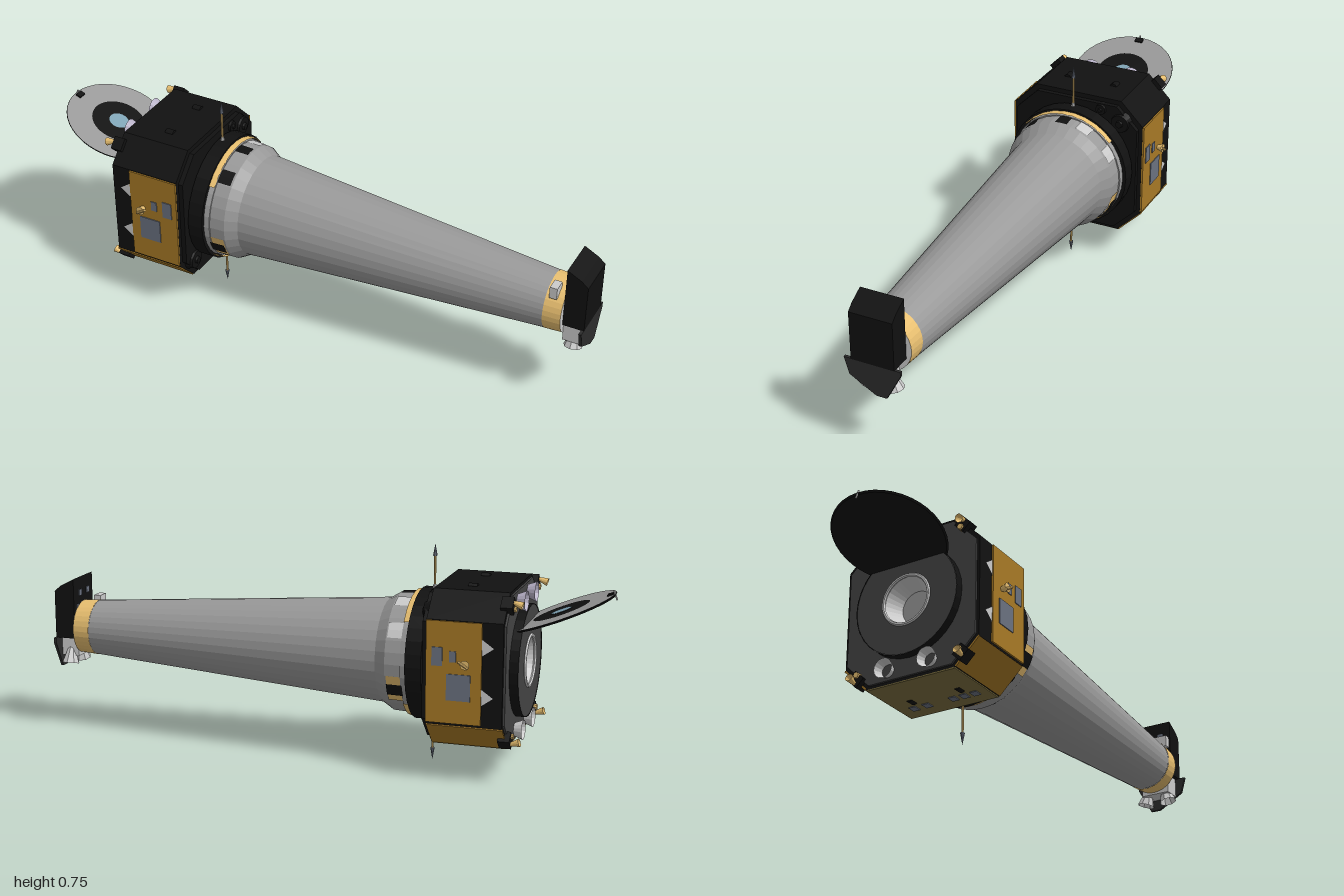
import * as THREE from 'three';

const CY = 0.378; // height of the long axis
const mat = (color, flat = true) => new THREE.MeshStandardMaterial({ color, flatShading: flat, side: THREE.DoubleSide });
const M = {
  grey: mat(0xcccccc), tube: mat(0x999999), dark: mat(0x444444), black: mat(0x111111),
  gold: mat(0xa87a26), pale: mat(0xe8bf70), olive: mat(0x7d7040), blue: mat(0x7fa3b5),
  lilac: mat(0xb9b2c8), window: mat(0x6b7280),
};

export function createModel() {
  const root = new THREE.Group();
  const add = (name, geo, m, x = 0, y = 0, z = 0, parent = root) => {
    const mesh = new THREE.Mesh(geo, m);
    mesh.name = name;
    mesh.position.set(x, y, z);
    parent.add(mesh);
    return mesh;
  };
  const box = (name, m, w, h, d, x, y, z) => add(name, new THREE.BoxGeometry(w, h, d), m, x, y, z);

  // Round section along x from x0 (radius r0) to x1 (radius r1); arc given in degrees from +z towards +y
  const round = (name, m, x0, x1, r0, r1, { y = CY, z = 0, open = false, from = 0, to = 360, seg = 32 } = {}) => {
    const n = Math.max(2, Math.round(seg * (to - from) / 360));
    const g = new THREE.CylinderGeometry(r1, r0, x1 - x0, n, 1, open, -to * Math.PI / 180, (to - from) * Math.PI / 180);
    g.rotateZ(-Math.PI / 2);
    return add(name, g, m, (x0 + x1) / 2, y, z);
  };

  // Outline in (z, y) extruded along x
  const slab = (name, m, pts, x0, x1, hole) => {
    const s = new THREE.Shape(pts.map(([z, y]) => new THREE.Vector2(-z, y)));
    if (hole) s.holes.push(new THREE.Path().absarc(0, CY, hole, 0, Math.PI * 2, true));
    const g = new THREE.ExtrudeGeometry(s, { depth: x1 - x0, bevelEnabled: false, curveSegments: 16 });
    g.rotateY(Math.PI / 2);
    return add(name, g, m, x0, 0, 0);
  };
  const octagon = (hz, hy, c) => [[hz, hy - c], [hz - c, hy], [c - hz, hy], [-hz, hy - c],
    [-hz, c - hy], [c - hz, -hy], [hz - c, -hy], [hz, c - hy]].map(([z, y]) => [z, y + CY]);

  // Octagonal body with a stepped rear face
  slab('body', M.black, octagon(0.25, 0.26, 0.085), -0.685, -0.43, 0.12);
  slab('bodyRim', M.black, octagon(0.235, 0.243, 0.08), -0.43, -0.413);
  slab('endPlate', M.dark, octagon(0.24, 0.25, 0.085), -0.692, -0.684, 0.12);

  // Drum with a recessed instrument on the end
  round('drumWall', M.black, -0.722, -0.685, 0.19, 0.19, { open: true });
  const face = add('drumFace', new THREE.RingGeometry(0.085, 0.188, 40), M.dark, -0.72, CY, 0);
  face.rotation.y = -Math.PI / 2;
  round('recess', M.grey, -0.72, -0.65, 0.085, 0.055, { open: true });
  round('recessFloor', M.tube, -0.655, -0.645, 0.06, 0.06);
  add('recessRing', new THREE.TorusGeometry(0.085, 0.006, 6, 32), M.grey, -0.721, CY, 0).rotation.y = Math.PI / 2;

  // Gold side panels, chamfer panels, windows and side antennas
  for (const s of [1, -1]) {
    box('sidePanel', M.gold, 0.185, 0.34, 0.008, -0.523, 0.381, s * 0.252);
    const chamfer = box('chamferPanel', M.gold, 0.255, 0.118, 0.006, -0.56, 0.161, s * 0.209);
    chamfer.rotation.x = s * Math.PI / 4;
    box('largeWindow', M.window, 0.08, 0.088, 0.004, -0.54, 0.333, s * 0.257);
    box('tallWindow', M.window, 0.036, 0.062, 0.004, -0.468, 0.433, s * 0.257);
    box('smallWindow', M.window, 0.022, 0.036, 0.004, -0.52, 0.435, s * 0.257);
    for (const y of [0.47, 0.305]) {
      const tri = new THREE.Shape([[-0.655, y], [-0.615, y - 0.028], [-0.615, y + 0.028]].map(p => new THREE.Vector2(...p)));
      add('gusset', new THREE.ShapeGeometry(tri), M.grey, 0, 0, s * 0.253);
    }
    const stalk = add('sideAntenna', new THREE.CylinderGeometry(0.016, 0.008, 0.022, 12), M.pale, -0.565, 0.415, s * 0.267);
    stalk.rotation.x = s * Math.PI / 2;
    const bar = add('sideAntennaBar', new THREE.CylinderGeometry(0.005, 0.005, 0.04, 8), M.pale, -0.56, 0.415, s * 0.28);
    bar.rotation.z = -1;
  }
  box('bottomPanel', M.olive, 0.25, 0.006, 0.33, -0.56, 0.117, 0);
  for (const z of [-0.11, -0.06, 0.04, 0.08, 0.12]) box('bottomVent', M.window, 0.03, 0.006, 0.025, -0.5, 0.114, z);

  // Corner thrusters and the horns along the end face
  for (const s of [1, -1]) for (const t of [1, -1]) {
    const y = CY + t * 0.232;
    const mount = box('thrusterMount', M.black, 0.04, 0.04, 0.045, -0.685, y - t * 0.008, s * 0.195);
    mount.rotation.x = s * t * Math.PI / 4;
    const nozzle = round('thruster', M.pale, -0.735, -0.7, 0.014, 0.006, { y, z: s * 0.2, open: true, seg: 12 });
    nozzle.rotation.z += t * 0.3;
    round('thrusterBase', M.pale, -0.712, -0.69, 0.01, 0.01, { y: y - t * 0.02, z: s * 0.19, seg: 8 });
    round('horn', t > 0 ? M.lilac : M.grey, -0.722, -0.655, 0.034, 0.008,
      { y: CY + t * 0.218, z: s * 0.08, open: true, seg: 16 });
    round('roofBoss', M.black, -0.56, -0.53, 0.014, 0.014, { y: CY + t * 0.255, z: s * 0.09, seg: 12 });
  }

  // Tilted aperture door
  const door = new THREE.Group();
  door.name = 'apertureDoor';
  door.position.set(-0.823, 0.55, 0);
  door.rotation.z = -0.375;
  root.add(door);
  add('doorDisc', new THREE.CylinderGeometry(0.19, 0.185, 0.006, 40), M.black, 0, 0, 0, door);
  const flat = (name, r0, r1, m, y) => {
    const g = r0 ? new THREE.RingGeometry(r0, r1, 40) : new THREE.CircleGeometry(r1, 32);
    add(name, g.rotateX(-Math.PI / 2), m, 0, y, 0, door);
  };
  flat('doorRing', 0.098, 0.188, M.tube, 0.005);
  flat('doorBlackRing', 0.036, 0.098, M.black, 0.005);
  flat('doorCentre', 0, 0.036, M.blue, 0.006);
  add('doorLatch', new THREE.BoxGeometry(0.02, 0.008, 0.03), M.black, -0.172, 0.006, 0, door);
  add('doorPin', new THREE.CylinderGeometry(0.003, 0.003, 0.035, 6), M.grey, -0.186, 0, 0, door);

  // Neck, adapter ring and covers between body and tube
  round('neck', M.black, -0.415, -0.4, 0.205, 0.205);
  round('adapterRing', M.black, -0.405, -0.35, 0.225, 0.225);
  round('collar', M.tube, -0.352, -0.33, 0.213, 0.211);
  for (const a of [40, 220]) round('goldCollar', M.pale, -0.352, -0.33, 0.219, 0.216, { open: true, from: a, to: a + 100 });
  for (const [z, y, r] of [[-0.17, 0.56, 0.04], [-0.095, 0.6, 0.023], [0.18, 0.2, 0.04]]) {
    round('cover', M.black, -0.43, -0.405, r, r * 0.8, { y, z, seg: 20 });
    round('coverKnob', M.black, -0.405, -0.397, r * 0.35, r * 0.3, { y, z, seg: 12 });
  }

  // Long tapering tube, drifting slightly towards +z at its far end
  const profile = [[-0.335, 0.207], [-0.275, 0.204], [-0.235, 0.18], [0.86, 0.098]];
  const drift = (geo) => {
    const p = geo.attributes.position;
    for (let i = 0; i < p.count; i++) {
      const k = Math.max(0, (p.getY(i) + 0.3) / 1.16);
      p.setZ(i, p.getZ(i) + 0.024 * k);
      p.setX(i, p.getX(i) + 0.006 * k);
    }
    geo.rotateZ(-Math.PI / 2);
    geo.computeVertexNormals();
    return geo;
  };
  const lathe = (pts) => drift(new THREE.LatheGeometry(pts.map(([x, r]) => new THREE.Vector2(r, x)), 32));
  add('tube', lathe(profile), M.tube, 0, CY, 0);
  add('endBand', lathe([[0.86, 0.099], [0.922, 0.095]]), M.pale, 0, CY, 0);
  add('endCap', lathe([[0.922, 0.0955], [0.924, 0.0001]]), M.grey, 0, CY, 0);
  box('bandBox', M.grey, 0.026, 0.042, 0.045, 0.886, 0.458, 0.085);

  // Patches around the wide end of the tube
  const patch = (m, from, to, r) => round('patch', m, -0.335, -0.28, r + 0.002, r, { open: true, from, to });
  patch(M.pale, -39, -11, 0.207);
  patch(M.black, -31, -18, 0.21);
  patch(M.pale, 191, 219, 0.207);
  patch(M.black, 199, 211, 0.21);
  patch(M.black, 84, 96, 0.207);
  patch(M.black, 46, 60, 0.207);
  patch(M.grey, 106, 120, 0.207);
  patch(M.grey, 140, 155, 0.207);

  // Sunshade at the far end
  const shade = new THREE.Shape([[0.924, 0.34], [0.998, 0.34], [0.998, 0.51], [0.975, 0.53], [0.924, 0.557]]
    .map(p => new THREE.Vector2(...p)));
  add('sunshade', new THREE.ExtrudeGeometry(shade, { depth: 0.152, bevelEnabled: false }), M.black, 0, 0, -0.052);
  slab('lowerShade', mat(0x2c2c2c), [[0.125, 0.342], [-0.073, 0.342], [-0.073, 0.325], [-0.022, 0.23], [0.015, 0.23], [0.108, 0.283]],
    0.988, 0.998);
  box('shadeBracket', M.grey, 0.066, 0.07, 0.11, 0.956, 0.305, 0.03);
  for (const z of [-0.02, 0.06]) {
    const nozzle = add('bracketHorn', new THREE.CylinderGeometry(0.012, 0.032, 0.06, 8, 1, true), M.grey, 0.956, 0.272, z);
    nozzle.rotation.x = z > 0.02 ? -0.25 : 0.25;
  }
  for (const [y, z] of [[0.5, 0.06], [0.5, 0], [0.45, -0.02]]) box('shadeSensor', M.window, 0.004, 0.022, 0.022, 0.923, y, z);

  // Whip antennas above and below the adapter ring
  for (const t of [1, -1]) {
    const whip = new THREE.Group();
    whip.name = 'whipAntenna';
    whip.position.set(-0.39, CY, 0.003);
    whip.scale.y = t;
    root.add(whip);
    add('clamp', new THREE.CylinderGeometry(0.005, 0.009, 0.018, 8), M.grey, 0, 0.228, 0, whip);
    add('rod', new THREE.CylinderGeometry(0.004, 0.004, 0.105, 8), M.pale, 0, 0.285, 0, whip);
    add('tip', new THREE.ConeGeometry(0.008, 0.042, 8), M.window, 0, 0.355, 0, whip);
  }
  return root;
}
